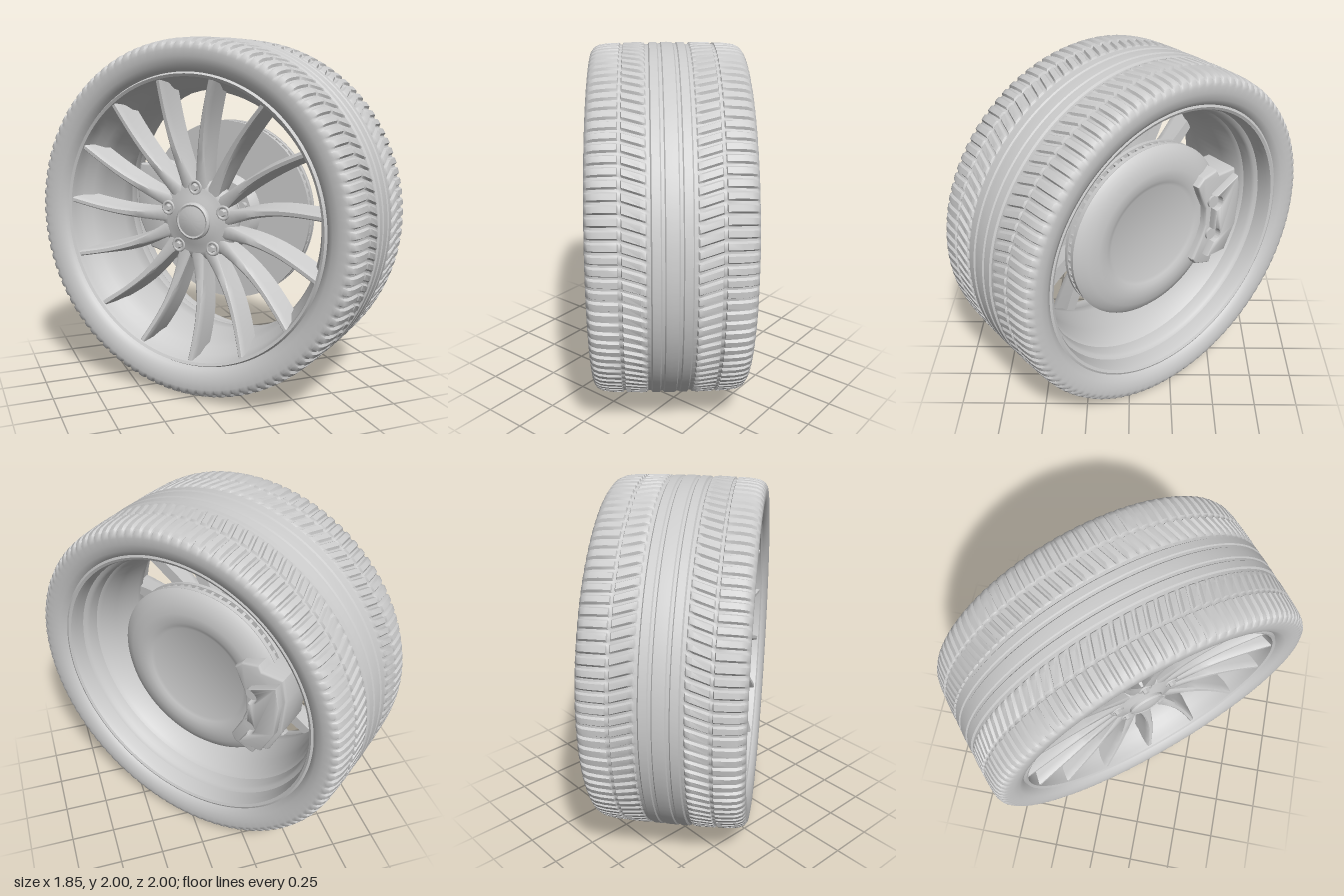
import * as THREE from 'three';
import { toCreasedNormals } from 'three/addons/utils/BufferGeometryUtils.js';

const mat = new THREE.MeshStandardMaterial({ color: 0xcccccc, side: THREE.DoubleSide });

function add(parent, name, geo, x = 0, y = 0, z = 0) {
  const m = new THREE.Mesh(geo, mat);
  m.name = name;
  m.position.set(x, y, z);
  parent.add(m);
  return m;
}

// Skin over rows of points; each row is a closed loop
function skin(rows, crease) {
  const n = rows[0].length, index = [];
  for (let i = 0; i < rows.length - 1; i++)
    for (let j = 0; j < n; j++) {
      const k = (j + 1) % n;
      const a = i * n + j, b = i * n + k, c = a + n, d = b + n;
      index.push(a, b, d, a, d, c);
    }
  const g = new THREE.BufferGeometry();
  g.setAttribute('position', new THREE.Float32BufferAttribute(rows.flat(2), 3));
  g.setIndex(index);
  return toCreasedNormals(g, crease);
}

// Turned part about the z axle, from [radius, z] pairs
function turned(profile, segments = 96, crease = 0.6) {
  const g = new THREE.LatheGeometry(profile.map(p => new THREE.Vector2(p[0], p[1])), segments);
  return toCreasedNormals(g.rotateX(Math.PI / 2), crease);
}

// Tyre: half section [z, radius, slotDepth], mirrored, with slanted slots cut in the tread
function tyreGeometry() {
  const half = [
    [0.03, 0.999, 0], [0.036, 0.992, 0], [0.05, 0.992, 0], [0.056, 0.999, 0],
    [0.095, 0.998, 0], [0.102, 0.988, 0], [0.118, 0.988, 0], [0.125, 0.997, 0.008],
    [0.15, 0.999, 0.014], [0.235, 0.997, 0.014], [0.24, 0.986, 0.004], [0.253, 0.986, 0.004],
    [0.258, 0.996, 0.012], [0.325, 0.993, 0.014], [0.37, 0.986, 0.014], [0.396, 0.973, 0.012],
    [0.411, 0.952, 0.006], [0.414, 0.93, 0], [0.412, 0.895, 0], [0.402, 0.855, 0],
    [0.382, 0.826, 0], [0.35, 0.808, 0],
  ];
  const section = [...half.map(([z, r, d]) => [-z, r, d]).reverse(), [0, 1, 0], ...half];
  const pitches = 105, steps = [[0, 0], [0.5, 0], [0.66, 1], [0.86, 1]];
  const rows = section.map(([z, r, depth]) => {
    const row = [], slant = 0.32 * Math.min(Math.abs(z), 0.25);
    for (let p = 0; p < pitches; p++)
      for (const [u, cut] of steps) {
        const a = (p + u) / pitches * Math.PI * 2 + slant, q = r - cut * depth;
        row.push([q * Math.cos(a), q * Math.sin(a), z]);
      }
    return row;
  });
  return skin(rows, 0.8);
}

// Bowed blade spoke along +x: narrow front rib over a wider, deep web
function spokeGeometry() {
  const rows = [], N = 16;
  for (let i = 0; i <= N; i++) {
    const t = i / N, r = 0.17 + 0.617 * t;
    const bow = 0.03 * Math.sin(Math.PI * t);
    const front = 0.264 - 0.008 * Math.sin(Math.PI * t) + 0.1 * t;
    const back = 0.15 + 0.01 * Math.sin(Math.PI * t) + 0.06 * t * t;
    const w = 0.015 + 0.027 * (1 - t) ** 3;
    const wb = 0.028 + 0.01 * Math.sin(Math.PI * t);
    rows.push([[wb, back], [w + 0.004, front - 0.04], [w, front - 0.008], [w * 0.6, front],
      [-w * 0.6, front], [-w, front - 0.008], [-w - 0.004, front - 0.04], [-wb, back]]
      .map(([y, z]) => [r, y + bow, z]));
  }
  return skin(rows, 0.7);
}

function polygon(points) {
  return new THREE.Shape(points.map(p => new THREE.Vector2(p[0], p[1])));
}

function buildRim(wheel) {
  const rim = new THREE.Group();
  rim.name = 'rim';
  add(rim, 'barrel', turned([
    [0.825, -0.355], [0.825, -0.374], [0.81, -0.38], [0.795, -0.372], [0.785, -0.34], [0.782, -0.28],
    [0.765, -0.268], [0.755, -0.25], [0.752, -0.19], [0.735, -0.17], [0.715, -0.05], [0.712, 0.16],
    [0.735, 0.24], [0.77, 0.285], [0.784, 0.345], [0.79, 0.37], [0.805, 0.378], [0.818, 0.355],
  ]));

  const spoke = spokeGeometry();
  for (let i = 0; i < 15; i++)
    add(rim, 'spoke', spoke).rotation.z = (79 + 24 * i) * Math.PI / 180;

  add(rim, 'hub', turned([
    [0, 0.13], [0.18, 0.13], [0.22, 0.15], [0.235, 0.19], [0.23, 0.235], [0.21, 0.258], [0.18, 0.268],
    [0.14, 0.272], [0.115, 0.285], [0, 0.285],
  ], 64, 1));
  add(rim, 'centreCap', turned([[0.104, 0.27], [0.104, 0.3], [0.094, 0.31], [0.085, 0.306], [0.05, 0.316], [0, 0.32]], 48));

  // Five wheel bolts in raised collars
  const collar = new THREE.TorusGeometry(0.034, 0.009, 8, 24);
  const bolt = toCreasedNormals(new THREE.CylinderGeometry(0.018, 0.022, 0.03, 6).rotateX(Math.PI / 2), 0.5);
  for (let i = 0; i < 5; i++) {
    const a = Math.PI / 2 + i * Math.PI * 2 / 5, x = 0.185 * Math.cos(a), y = 0.185 * Math.sin(a);
    add(rim, 'boltCollar', collar, x, y, 0.266);
    add(rim, 'wheelBolt', bolt, x, y, 0.276);
  }
  wheel.add(rim);
}

function buildBrake(wheel) {
  const brake = new THREE.Group();
  brake.name = 'brake';
  add(brake, 'dustShield', turned([
    [0, -0.205], [0.3, -0.205], [0.32, -0.212], [0.345, -0.222], [0.4, -0.224],
    [0.46, -0.212], [0.51, -0.19], [0.532, -0.17], [0.5, -0.165], [0.2, -0.165],
  ], 80, 0.9));
  for (const z of [-0.165, -0.115])
    add(brake, 'brakeDisc', turned([[0.15, z], [0.53, z], [0.53, z + 0.022], [0.15, z + 0.022]], 80));

  // Cooling vanes between the two disc faces
  const vane = new THREE.BoxGeometry(0.3, 0.018, 0.034);
  for (let i = 0; i < 64; i++) {
    const a = i / 64 * Math.PI * 2;
    add(brake, 'coolingVane', vane, 0.375 * Math.cos(a), 0.375 * Math.sin(a), -0.129).rotation.z = a;
  }
  add(brake, 'discHat', turned([[0.23, -0.1], [0.21, -0.06], [0.19, -0.04], [0.12, -0.04], [0.1, -0.02], [0.1, 0.14]], 48));
  const stud = new THREE.CylinderGeometry(0.02, 0.02, 0.04, 12).rotateX(Math.PI / 2);
  for (let i = 0; i < 5; i++) {
    const a = Math.PI / 2 + i * Math.PI * 2 / 5;
    add(brake, 'hatStud', stud, 0.155 * Math.cos(a), 0.155 * Math.sin(a), -0.03);
  }

  // Caliper clamped over the disc edge
  const body = polygon([[-0.295, 0.22], [-0.32, 0.16], [-0.365, 0.06], [-0.37, -0.06], [-0.34, -0.15],
    [-0.28, -0.27], [-0.3, -0.3], [-0.4, -0.335], [-0.42, -0.28], [-0.5, -0.26], [-0.575, -0.1],
    [-0.59, 0.12], [-0.565, 0.24], [-0.44, 0.24], [-0.42, 0.275], [-0.33, 0.255]]);
  const bevel = { bevelEnabled: true, bevelSize: 0.012, bevelThickness: 0.015, bevelSegments: 3 };
  add(brake, 'caliperBody', toCreasedNormals(
    new THREE.ExtrudeGeometry(body, { depth: 0.2, ...bevel }), 0.6), 0, 0, -0.255);

  // Cover with two scallops for the pistons
  const cover = new THREE.Shape();
  cover.moveTo(-0.37, 0.2);
  cover.absarc(-0.4, 0.095, 0.05, Math.PI / 2, Math.PI * 1.5, false);
  cover.absarc(-0.395, -0.125, 0.05, Math.PI / 2, Math.PI * 1.5, false);
  for (const [x, y] of [[-0.35, -0.25], [-0.48, -0.25], [-0.555, -0.1], [-0.575, 0.1], [-0.555, 0.22]])
    cover.lineTo(x, y);
  add(brake, 'caliperCover', toCreasedNormals(
    new THREE.ExtrudeGeometry(cover, { depth: 0.03, ...bevel, bevelSize: 0.006, curveSegments: 12 }), 0.6), 0, 0, -0.3);
  const piston = new THREE.CylinderGeometry(0.038, 0.038, 0.03, 24).rotateX(Math.PI / 2);
  add(brake, 'piston', piston, -0.4, 0.095, -0.268);
  add(brake, 'piston', piston, -0.395, -0.125, -0.268);
  wheel.add(brake);
}

export function createModel() {
  const model = new THREE.Group();
  model.name = 'wheelAssembly';
  const wheel = new THREE.Group();
  wheel.name = 'wheel';
  add(wheel, 'tyre', tyreGeometry());
  buildRim(wheel);
  buildBrake(wheel);
  // Axle turned toward the front right
  wheel.rotation.y = -0.876;
  wheel.position.y = 1;
  model.add(wheel);
  return model;
}
